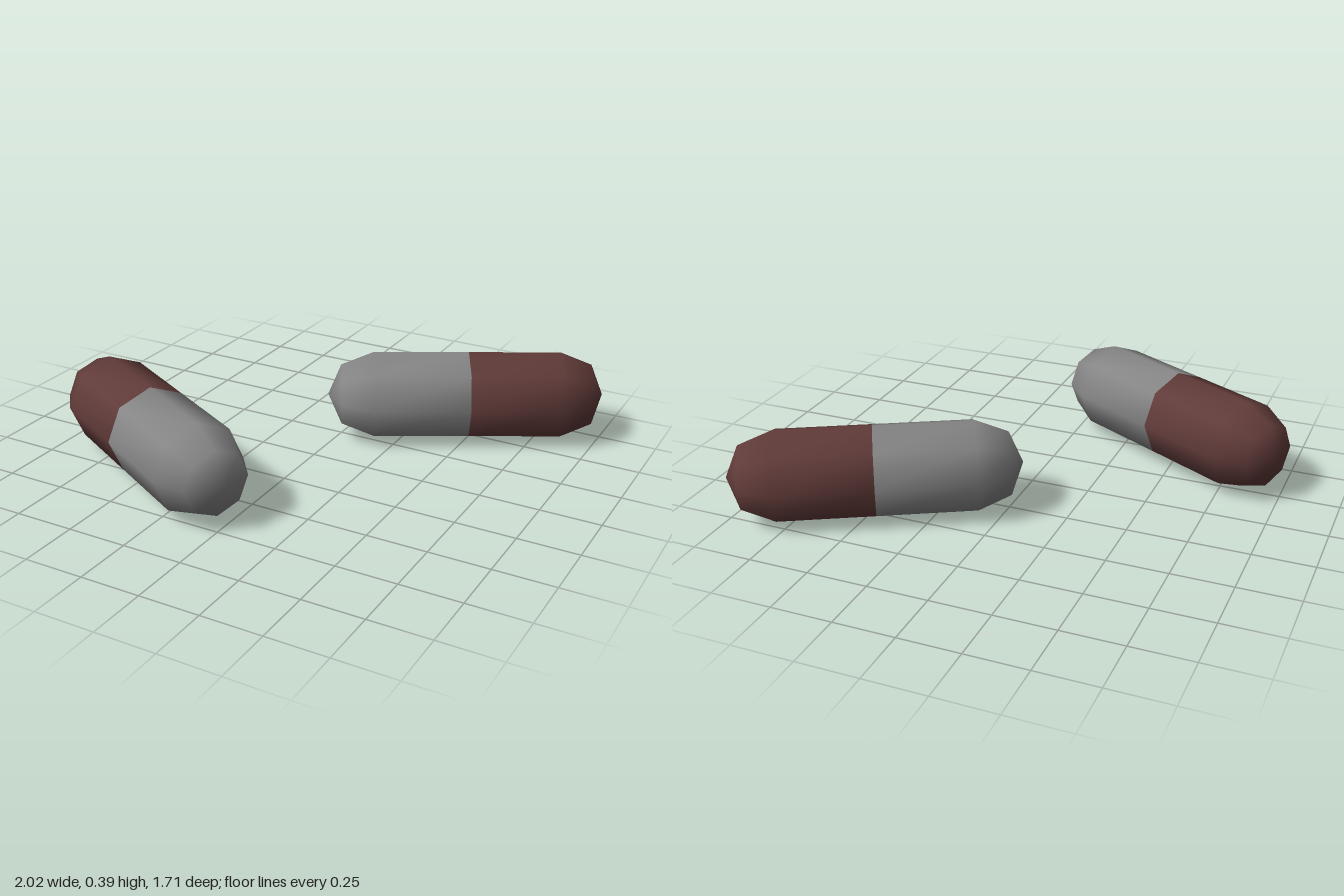
import * as THREE from 'three';
import { mergeVertices } from 'three/addons/utils/BufferGeometryUtils.js';

const RADIUS = 0.193;
const SIDES = 8;

// Half a capsule along +y: straight wall, then a two-step round end
function halfShell(length) {
  const c = RADIUS * Math.SQRT1_2;
  const profile = [
    [RADIUS, 0], [RADIUS, length], [c, length + c], [0, length + RADIUS],
  ].map(([x, y]) => new THREE.Vector2(x, y));
  const lathe = new THREE.LatheGeometry(profile, SIDES);
  // Weld the lathe seam and pole so shading is smooth all round
  lathe.deleteAttribute('uv');
  lathe.deleteAttribute('normal');
  const geometry = mergeVertices(lathe, 1e-4);
  geometry.computeVertexNormals();
  return geometry;
}

export function createModel() {
  const red = new THREE.MeshStandardMaterial({ color: 0x603b39 });
  red.name = 'dark red';
  const grey = new THREE.MeshStandardMaterial({ color: 0x858585 });
  grey.name = 'grey';

  const redGeometry = halfShell(0.388);
  const greyGeometry = halfShell(0.403);

  // Capsule lying down, red half towards its local +x
  function capsule(name, x, z, turn) {
    const group = new THREE.Group();
    group.name = name;
    const redHalf = new THREE.Mesh(redGeometry, red);
    redHalf.name = 'redHalf';
    redHalf.rotation.z = -Math.PI / 2;
    const greyHalf = new THREE.Mesh(greyGeometry, grey);
    greyHalf.name = 'greyHalf';
    greyHalf.rotation.z = Math.PI / 2;
    group.add(redHalf, greyHalf);
    group.position.set(x, RADIUS, z);
    group.rotation.y = turn;
    return group;
  }

  const model = new THREE.Group();
  model.name = 'capsules';
  model.add(
    capsule('backCapsule', 0.48, -0.491, 0.5),
    capsule('frontCapsule', -0.485, 0.471, Math.PI - 0.5),
  );
  return model;
}
